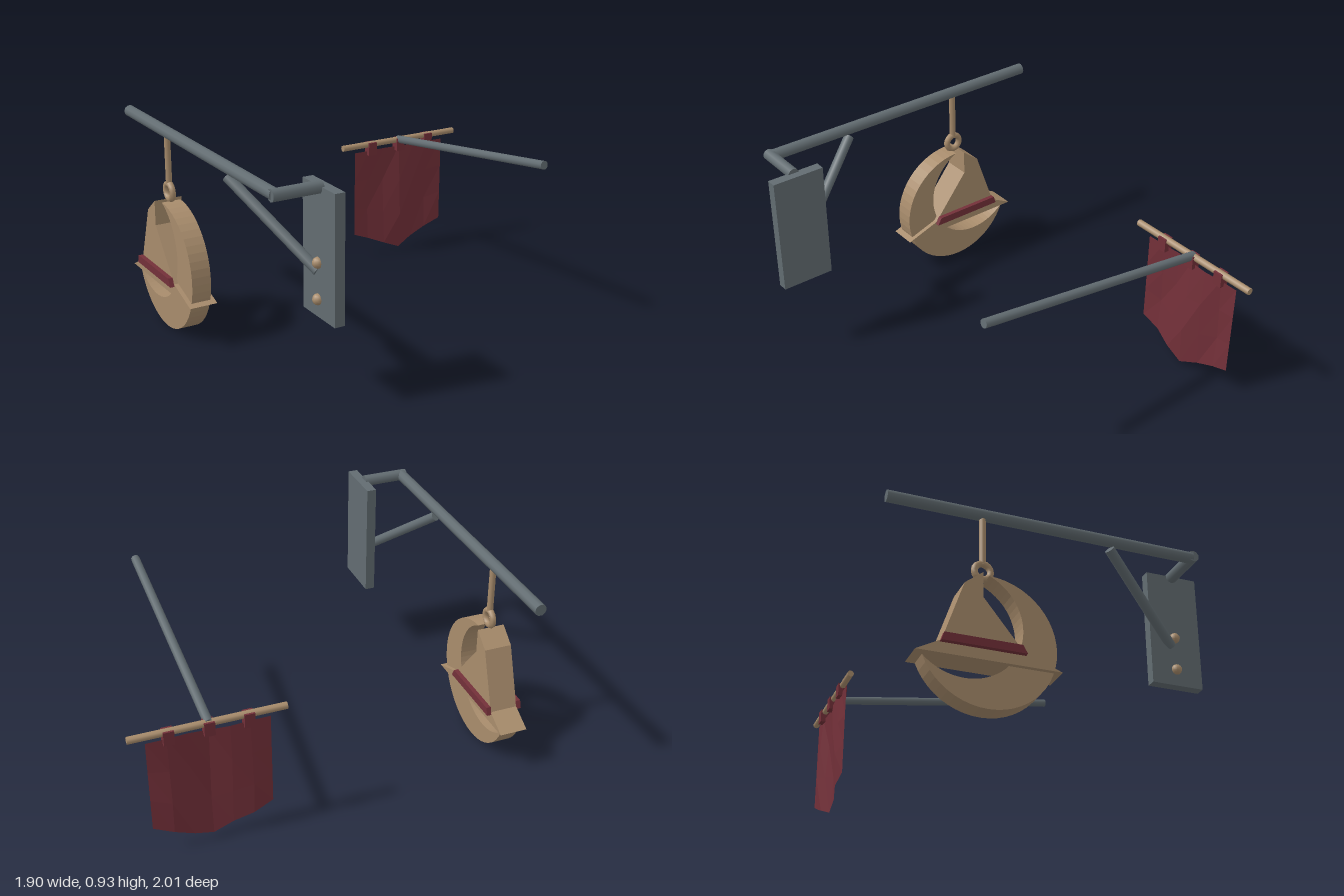
import * as THREE from 'three';

const mat = (name, color) => {
  const m = new THREE.MeshStandardMaterial({ color });
  m.name = name;
  return m;
};

export function createModel() {
  const iron = mat('iron', 0x626c71);
  const wood = mat('wood', 0xa88c6c);
  const red = mat('red cloth', 0x733039);
  red.side = THREE.DoubleSide;

  const add = (parent, name, geo, material, x = 0, y = 0, z = 0) => {
    const m = new THREE.Mesh(geo, material);
    m.name = name;
    m.position.set(x, y, z);
    parent.add(m);
    return m;
  };
  // Round bar between two points
  const bar = (parent, name, a, b, r, material, sides = 10) => {
    const p = new THREE.Vector3(...a), q = new THREE.Vector3(...b);
    const d = q.clone().sub(p);
    const m = add(parent, name, new THREE.CylinderGeometry(r, r, d.length(), sides), material);
    m.position.copy(p).add(q).multiplyScalar(0.5);
    m.quaternion.setFromUnitVectors(new THREE.Vector3(0, 1, 0), d.normalize());
    return m;
  };
  // Slab cut from a flat shape, centred on z
  const slab = (shape, depth, curveSegments = 12) =>
    new THREE.ExtrudeGeometry(shape, { depth, bevelEnabled: false, curveSegments }).translate(0, 0, -depth / 2);
  const polygon = pts => new THREE.Shape(pts.map(p => new THREE.Vector2(...p)));

  const model = new THREE.Group();
  model.name = 'hangingSigns';

  // --- Crescent sign on its wall bracket; local x runs along the arm
  const sign = new THREE.Group();
  sign.name = 'crescentSign';
  sign.position.set(-0.715, 0, 0.12);
  sign.rotation.y = -Math.PI / 3;
  model.add(sign);

  add(sign, 'wallPlate', new THREE.BoxGeometry(0.245, 0.55, 0.046), iron, 0.983, 0.643, -0.212);
  bar(sign, 'mainArm', [-0.432, 0.913, 0], [0.985, 0.913, 0], 0.027, iron);
  bar(sign, 'armElbow', [0.985, 0.913, 0.02], [0.985, 0.913, -0.2], 0.027, iron);
  bar(sign, 'brace', [0.58, 0.872, 0], [0.965, 0.56, -0.195], 0.023, iron);
  for (const y of [0.6, 0.445])
    add(sign, 'bolt', new THREE.SphereGeometry(0.024, 10, 8), wood, 0.98, y, -0.187);
  bar(sign, 'hangingRod', [-0.01, 0.67, 0], [-0.01, 0.905, 0], 0.015, wood, 8);
  add(sign, 'hangingRing', new THREE.TorusGeometry(0.036, 0.015, 8, 16), wood, -0.01, 0.64, 0);

  // Crescent: outer circle minus an offset inner circle
  const R = 0.297, r = 0.25, cx = -0.1, cy = 0.07;
  const d = Math.hypot(cx, cy), mid = Math.atan2(cy, cx);
  const half = Math.acos((R * R + d * d - r * r) / (2 * R * d));
  const toInner = a => Math.atan2(R * Math.sin(a) - cy, R * Math.cos(a) - cx);
  const moon = new THREE.Shape();
  moon.absarc(0, 0, R, mid + half, mid - half + Math.PI * 2, false);
  moon.absarc(cx, cy, r, toInner(mid - half), toInner(mid + half), true);
  add(sign, 'crescent', slab(moon, 0.09, 18), wood, 0, 0.302, 0);

  // Pointed hat with a wide brim and a bent tip
  const hat = polygon([[-0.312, 0.205], [0.312, 0.205], [0.148, 0.262], [-0.03, 0.485],
    [-0.03, 0.6], [-0.11, 0.537], [-0.205, 0.262]]);
  add(sign, 'hat', slab(hat, 0.13), wood);

  // Hat band: a bevelled strip on each face
  const band = polygon([[-0.212, 0.252], [0.152, 0.252], [0.132, 0.288], [-0.2, 0.288]]);
  for (const s of [-1, 1]) add(sign, 'hatBand', slab(band, 0.022), red, 0, 0, s * 0.075);

  // --- Cloth banner; local x runs along the crossbar, the pole goes back along +z
  const banner = new THREE.Group();
  banner.name = 'clothBanner';
  banner.position.set(0.36, 0, -0.82);
  banner.rotation.y = Math.PI / 6;
  model.add(banner);

  bar(banner, 'crossbar', [-0.337, 0.605, 0], [0.337, 0.605, 0], 0.016, wood, 8);
  bar(banner, 'bannerPole', [0, 0.605, -0.005], [0, 0.773, 1.145], 0.02, iron);
  for (const x of [-0.17, 0, 0.17])
    add(banner, 'clothTab', new THREE.BoxGeometry(0.046, 0.065, 0.042), red, x, 0.583, 0);

  // Cloth: grid with a pointed hem and gentle folds
  const cloth = new THREE.PlaneGeometry(0.53, 1, 6, 3);
  const p = cloth.attributes.position;
  for (let i = 0; i < p.count; i++) {
    const x = p.getX(i), t = 0.5 - p.getY(i);
    const hem = 0.02 + 0.11 * Math.abs(x) / 0.265;
    const edge = 1 - (Math.abs(x) / 0.265) ** 4;
    p.setY(i, 0.57 + (hem - 0.57) * t);
    p.setZ(i, 0.024 * edge * Math.sin(x * 17 + t * 2.2) * (0.3 + 0.7 * Math.sin(t * 2.6)));
  }
  const flat = cloth.toNonIndexed();
  flat.computeVertexNormals();
  add(banner, 'cloth', flat, red);

  return model;
}
